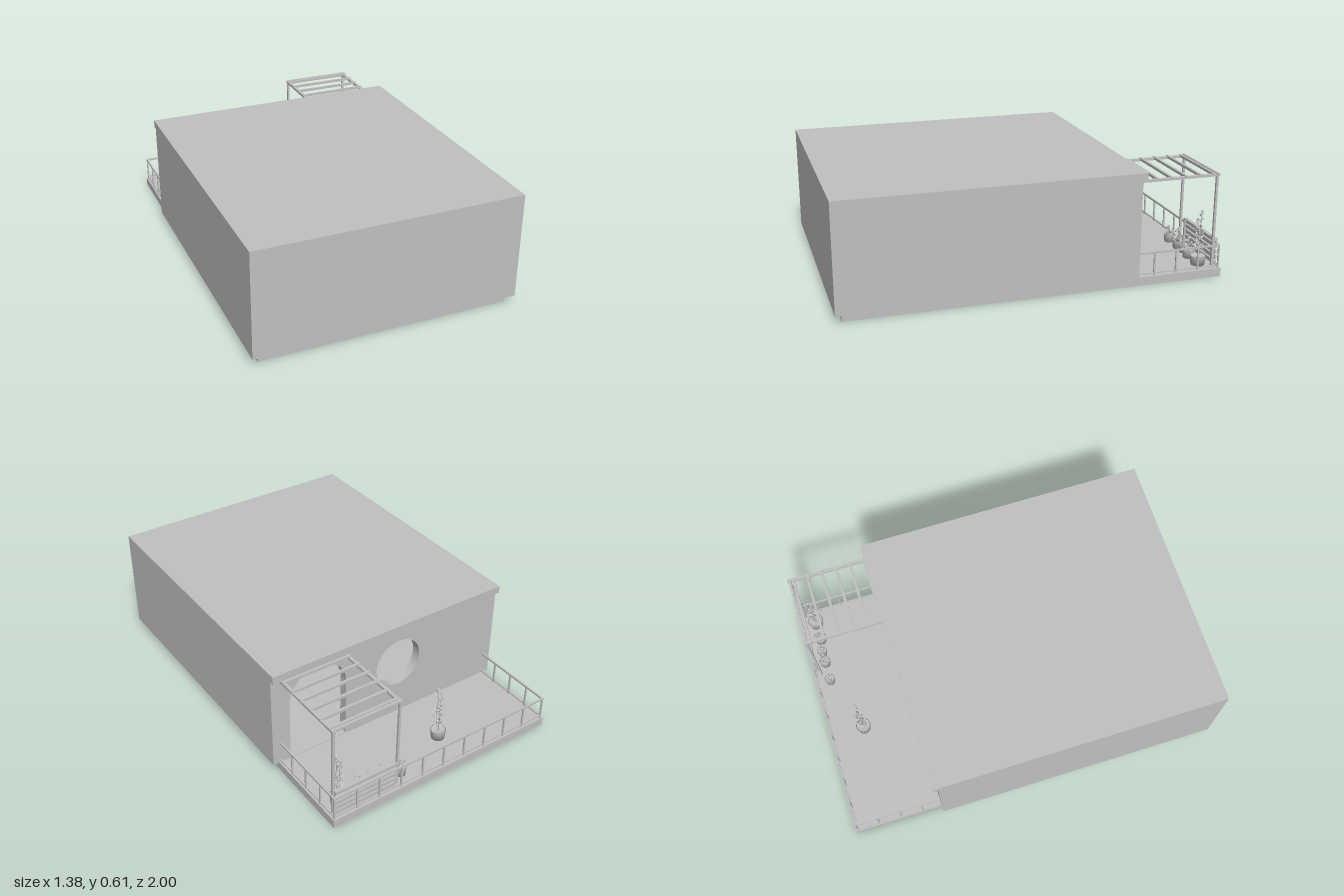
import * as THREE from 'three';

export function createModel() {
  const model = new THREE.Group();
  const grey = new THREE.MeshStandardMaterial({ color: 0xc0c0c0 });
  grey.name = 'plain grey';
  const leafGrey = new THREE.MeshStandardMaterial({ color: 0xc0c0c0, side: THREE.DoubleSide });
  leafGrey.name = 'leaf grey';

  let seed = 7;
  const rand = () => (seed = (seed * 16807) % 2147483647) / 2147483647;

  const group = (name) => {
    const g = new THREE.Group();
    g.name = name;
    model.add(g);
    return g;
  };
  const add = (parent, name, geometry, material = grey) => {
    const mesh = new THREE.Mesh(geometry, material);
    mesh.name = name;
    parent.add(mesh);
    return mesh;
  };
  // Box given by its minimum and maximum on each axis
  const box = (parent, name, x0, x1, y0, y1, z0, z1) => {
    const mesh = add(parent, name, new THREE.BoxGeometry(x1 - x0, y1 - y0, z1 - z0));
    mesh.position.set((x0 + x1) / 2, (y0 + y1) / 2, (z0 + z1) / 2);
    return mesh;
  };

  // Base slab, carrying the house and the terrace
  box(model, 'baseSlab', -0.655, 0.655, 0, 0.045, -1, 0.965);

  // House shell
  const house = group('house');
  box(house, 'floor', -0.69, 0.69, 0.045, 0.05, -0.525, 1);
  box(house, 'roof', -0.69, 0.69, 0.565, 0.605, -0.55, 1);
  box(house, 'frontWall', -0.69, 0.69, 0.05, 0.565, 0.96, 1);
  for (const s of [-1, 1]) box(house, 'sideWall', s * 0.67 - 0.02, s * 0.67 + 0.02, 0.05, 0.565, -0.475, 0.96);

  // Terrace wall with an arched doorway and a round window
  const wall = new THREE.Shape();
  wall.moveTo(-0.69, 0.05);
  wall.lineTo(0.26, 0.05);
  wall.lineTo(0.26, 0.38);
  wall.absarc(0.425, 0.38, 0.165, Math.PI, 0, true);
  wall.lineTo(0.59, 0.05);
  wall.lineTo(0.69, 0.05);
  wall.lineTo(0.69, 0.565);
  wall.lineTo(-0.69, 0.565);
  wall.closePath();
  const windowHole = new THREE.Path();
  windowHole.absarc(-0.06, 0.36, 0.135, 0, Math.PI * 2, true);
  wall.holes.push(windowHole);
  const wallGeometry = new THREE.ExtrudeGeometry(wall, { depth: 0.05, bevelEnabled: false, curveSegments: 32 });
  add(house, 'terraceWall', wallGeometry).position.z = -0.525;

  // Small table inside the doorway
  const table = group('table');
  box(table, 'tableFoot', 0.52, 0.6, 0.05, 0.15, -0.2, -0.12);
  add(table, 'tableTop', new THREE.CylinderGeometry(0.11, 0.11, 0.015, 32)).position.set(0.53, 0.157, -0.13);

  // Railing round three sides of the terrace
  const railing = group('railing');
  const R = 0.645, t = 0.004, back = -0.988;
  for (const [y, h] of [[0.058, 0.003], [0.168, 0.005]]) {
    box(railing, 'backRail', -R - t, R + t, y - h, y + h, back - t, back + t);
    for (const s of [-1, 1]) box(railing, 'sideRail', s * R - t, s * R + t, y - h, y + h, back, -0.525);
  }
  for (let i = 0; i <= 10; i++) {
    const x = -R + i * 0.129;
    box(railing, 'backPost', x - t, x + t, 0.045, 0.168, back - t, back + t);
  }
  for (const s of [-1, 1]) for (const z of [-0.87, -0.748, -0.628]) {
    box(railing, 'sidePost', s * R - t, s * R + t, 0.045, 0.168, z - t, z + t);
  }

  // Pergola: two posts, a beam frame and cross slats
  const pergola = group('pergola');
  for (const x of [0.265, 0.632]) {
    box(pergola, 'post', x - 0.006, x + 0.006, 0.045, 0.542, -0.964, -0.952);
    box(pergola, 'sideBeam', x - 0.008, x + 0.008, 0.54, 0.553, -0.97, -0.525);
  }
  for (const z of [-0.958, -0.937, -0.862, -0.783, -0.704, -0.628, -0.55]) {
    box(pergola, 'crossSlat', 0.255, 0.642, 0.544, 0.557, z - 0.007, z + 0.007);
  }

  // Slatted screen below the pergola
  const screen = group('slattedScreen');
  for (let i = 0; i < 5; i++) {
    const y = 0.06 + i * 0.03;
    box(screen, 'screenSlat', 0.285, 0.635, y, y + 0.021, -0.982, -0.972);
  }
  for (const x of [0.295, 0.46, 0.625]) box(screen, 'screenPost', x - 0.006, x + 0.006, 0.045, 0.2, -0.972, -0.964);
  box(screen, 'screenCap', 0.285, 0.635, 0.196, 0.202, -0.985, -0.964);

  // Pointed leaf, folded along its middle
  const leafGeometry = new THREE.PlaneGeometry(1, 1, 2, 4);
  const p = leafGeometry.attributes.position;
  for (let i = 0; i < p.count; i++) {
    const along = p.getY(i) + 0.5;
    const side = p.getX(i) * Math.sin(Math.PI * along) * 0.9;
    p.setXYZ(i, side, along, Math.abs(side) * 0.4 - along * along * 0.25);
  }
  leafGeometry.computeVertexNormals();

  // Round pot with a rim and soil
  const potProfile = (r, h) => [[0, 0], [r * 0.85, 0], [r, h], [r * 0.88, h], [r * 0.85, h * 0.85], [0, h * 0.85]]
    .map(([x, y]) => new THREE.Vector2(x, y));

  // Potted plant with curved stems, leaves and buds
  const plant = (x, z, r, potHeight, height, stems, leaves) => {
    const g = group('pottedPlant');
    g.position.set(x, 0.045, z);
    add(g, 'pot', new THREE.LatheGeometry(potProfile(r, potHeight), 20), leafGrey);
    for (let i = 0; i < stems; i++) {
      const a = i * 2.4 + rand(), h = height * (1 - 0.18 * i);
      const lean = r * (0.3 + 0.3 * rand());
      const at = (k, y) => new THREE.Vector3(Math.cos(a) * lean * k, y, Math.sin(a) * lean * k);
      const curve = new THREE.CatmullRomCurve3([at(0.2, potHeight * 0.8), at(0.9, h * 0.5), at(0.6, h * 0.8), at(1.3, h)]);
      add(g, 'stem', new THREE.TubeGeometry(curve, 10, 0.002, 5));
      const bud = add(g, 'bud', new THREE.SphereGeometry(0.006, 8, 6));
      bud.position.copy(curve.getPoint(1));
      for (let j = 0; j < leaves; j++) {
        const f = 0.12 + 0.86 * j / leaves;
        const leaf = add(g, 'leaf', leafGeometry, leafGrey);
        const size = (0.9 - 0.4 * f) * Math.min(r, 0.034);
        leaf.position.copy(curve.getPoint(f));
        leaf.scale.set(size * 0.6, size, size);
        leaf.rotation.set(0.6 + rand() * 0.8, j * 2.4 + rand(), 0, 'YXZ');
      }
    }
  };
  plant(-0.11, -0.81, 0.04, 0.05, 0.325, 3, 16);
  plant(0.57, -0.91, 0.042, 0.05, 0.3, 3, 16);
  plant(0.21, -0.92, 0.028, 0.045, 0.09, 4, 5);
  plant(0.32, -0.92, 0.03, 0.045, 0.12, 4, 6);
  plant(0.385, -0.92, 0.026, 0.045, 0.1, 4, 5);
  plant(0.465, -0.91, 0.034, 0.045, 0.13, 4, 6);

  return model;
}
